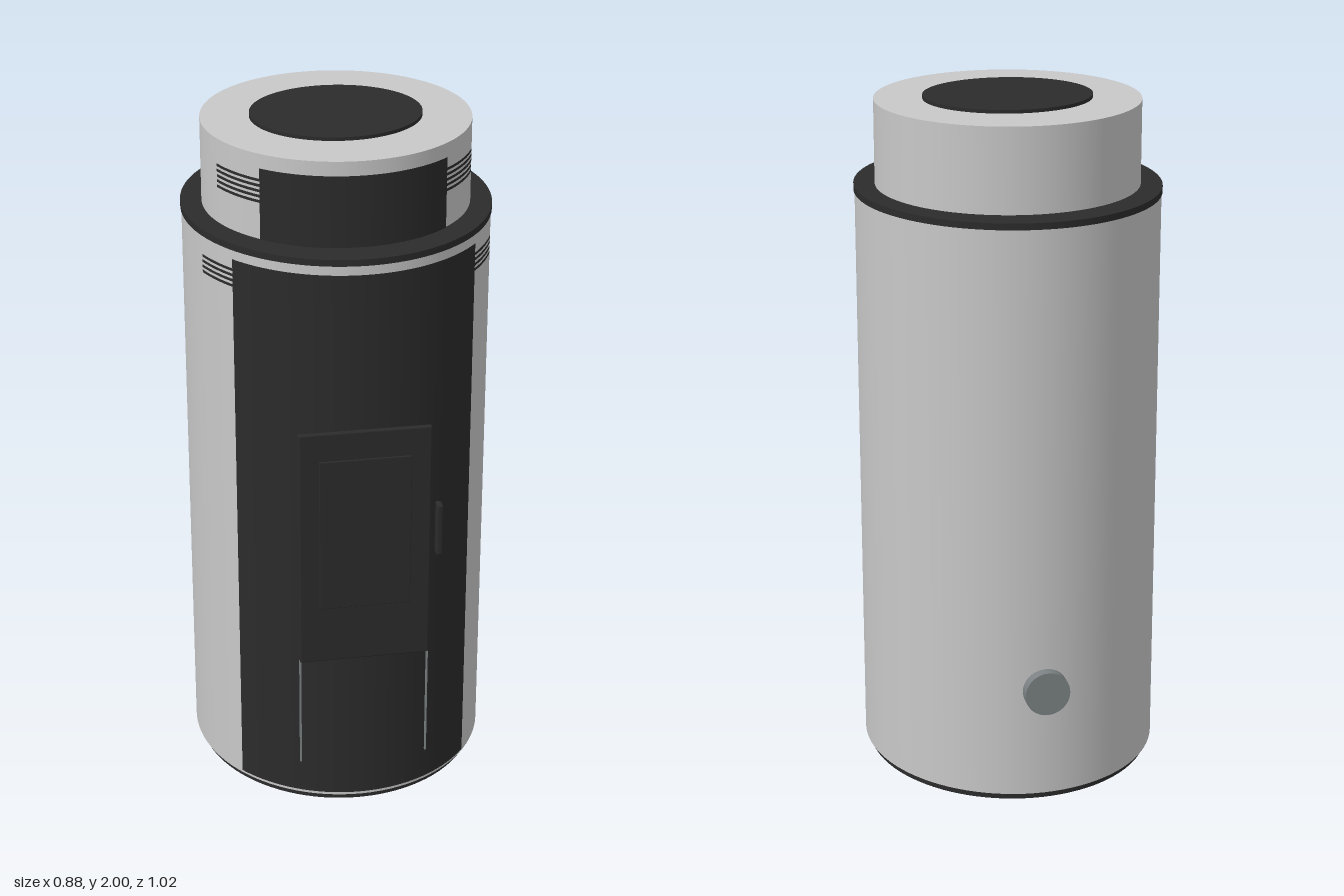
import * as THREE from 'three';
import { RoundedBoxGeometry } from 'three/addons/geometries/RoundedBoxGeometry.js';

const paint = (name, color, side = THREE.FrontSide) => {
  const m = new THREE.MeshStandardMaterial({ color, side });
  m.name = name;
  return m;
};

export function createModel() {
  const stove = new THREE.Group();
  stove.name = 'stove';
  const steel = paint('light grey steel', 0xc8c8c8);
  const dark = paint('charcoal', 0x2b2b2b);
  const darkSheet = paint('charcoal sheet', 0x2b2b2b, THREE.DoubleSide);
  const grey = paint('mid grey', 0x7c8284);
  const CZ = -0.006; // centre of the oval shell

  const add = (name, geometry, material, x, y, z) => {
    const mesh = new THREE.Mesh(geometry, material);
    mesh.name = name;
    mesh.position.set(x, y, z);
    stove.add(mesh);
    return mesh;
  };
  // Solid oval drum between two heights
  const drum = (name, rx, rz, y0, y1, material) =>
    add(name, new THREE.CylinderGeometry(1, 1, y1 - y0, 96).scale(rx, 1, rz),
      material, 0, (y0 + y1) / 2, CZ);
  // Thin curved sheet around the front, reaching sideways to x = +-reach
  const sheet = (name, rx, rz, reach, y0, y1) => {
    const a = Math.asin(reach / rx);
    add(name, new THREE.CylinderGeometry(1, 1, y1 - y0, 64, 1, true, -a, 2 * a).scale(rx, 1, rz),
      darkSheet, 0, (y0 + y1) / 2, CZ);
  };
  const plate = (name, w, h, d, x, y, z, material = dark) =>
    add(name, new RoundedBoxGeometry(w, h, d, 2, Math.min(w, d) * 0.3), material, x, y, z);

  // Stacked drums
  drum('base', 0.425, 0.455, 0, 0.024, dark);
  drum('body', 0.438, 0.472, 0.024, 1.726, steel);
  drum('topRing', 0.441, 0.475, 1.726, 1.745, dark);
  drum('upperDrum', 0.381, 0.386, 1.745, 1.99, steel);
  drum('lid', 0.243, 0.223, 1.985, 2.0, dark);

  // Curved front panels
  sheet('frontPanel', 0.441, 0.475, 0.338, 0.034, 1.70);
  sheet('upperPanel', 0.384, 0.389, 0.258, 1.745, 1.95);

  // Vent slots
  for (let i = 0; i < 5; i++) {
    const y = 1.917 - i * 0.0152;
    sheet('upperVent', 0.386, 0.391, 0.356, y - 0.004, y + 0.004);
  }
  for (let i = 0; i < 4; i++) {
    const y = 1.67 - i * 0.0155;
    sheet('lowerVent', 0.443, 0.477, 0.406, y - 0.004, y + 0.004);
  }

  // Fire door, window and handle
  plate('door', 0.376, 0.73, 0.016, 0, 0.875, 0.476);
  plate('window', 0.262, 0.47, 0.008, 0, 0.92, 0.484);
  plate('handle', 0.018, 0.16, 0.034, 0.21, 0.92, 0.49);

  // Thin trim strips under the door
  for (const s of [-1, 1]) {
    add('trimStrip', new THREE.BoxGeometry(0.005, 0.345, 0.008), grey, s * 0.186, 0.338, 0.471);
  }

  // Rear air inlet
  add('airInlet', new THREE.CylinderGeometry(0.066, 0.066, 0.06, 40).rotateX(Math.PI / 2),
    grey, 0, 0.355, -0.478);

  return stove;
}
